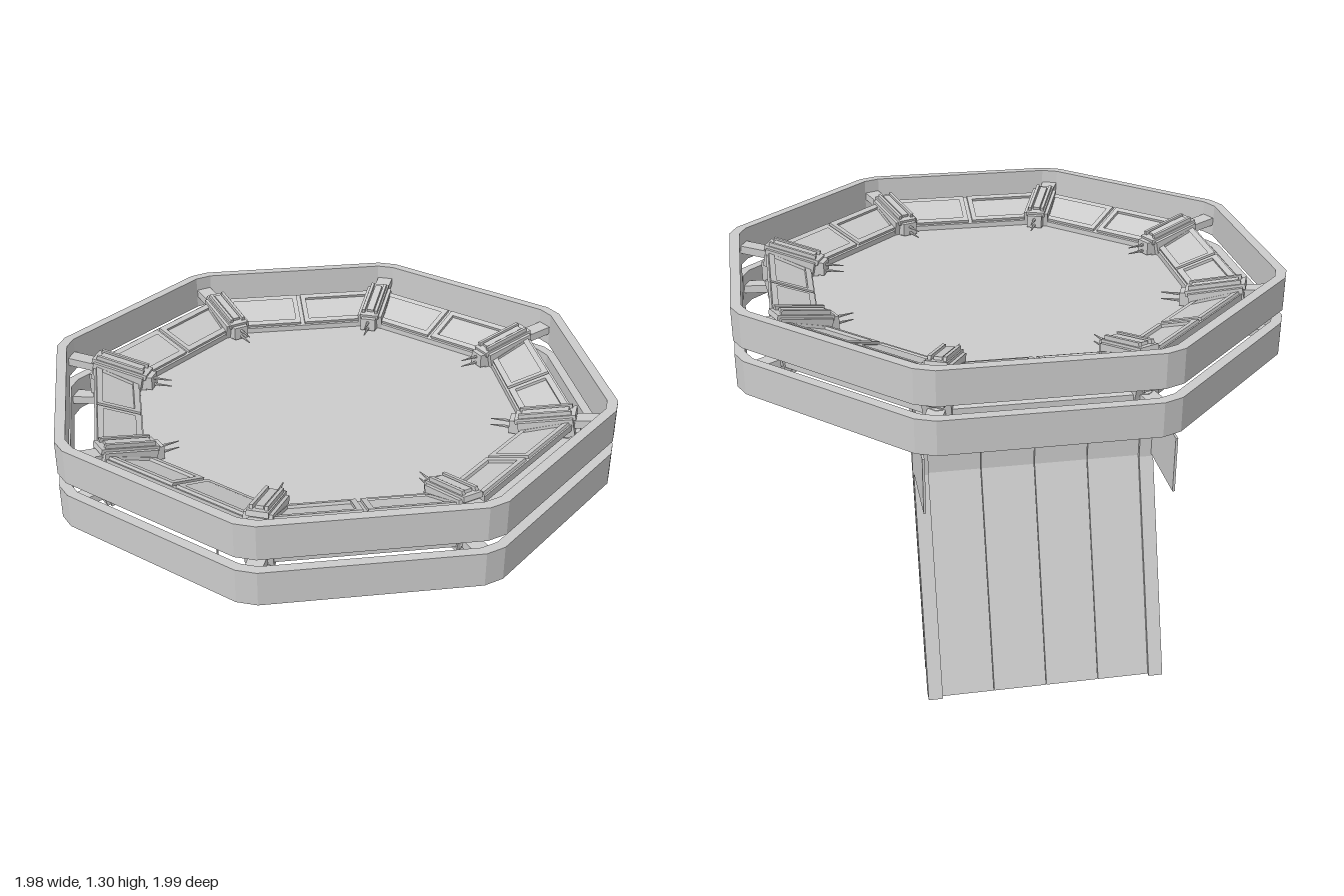
import * as THREE from 'three';

const T = Math.tan(Math.PI / 8);
const C = Math.cos(Math.PI / 8);
const MID = 1.155; // height of the ring's middle plane
const grey = new THREE.MeshStandardMaterial({ color: 0xcccccc, flatShading: true });
const thin = new THREE.MeshStandardMaterial({ color: 0xcccccc, flatShading: true, side: THREE.DoubleSide });

function add(parent, name, geometry, x = 0, y = 0, z = 0, material = grey) {
  const mesh = new THREE.Mesh(geometry, material);
  mesh.name = name;
  mesh.position.set(x, y, z);
  parent.add(mesh);
  return mesh;
}

function group(parent, name) {
  const g = new THREE.Group();
  g.name = name;
  parent.add(g);
  return g;
}

const box = (w, h, d) => new THREE.BoxGeometry(w, h, d);
const vec = (pts) => pts.map(([x, y]) => new THREE.Vector2(x, y));

function extrude(points, depth, hole) {
  const shape = new THREE.Shape(vec(points));
  if (hole) shape.holes.push(new THREE.Path(vec(hole)));
  return new THREE.ExtrudeGeometry(shape, { depth, bevelEnabled: false });
}

// Octagon of apothem a whose corners are cut by c
function cutOctagon(a, c) {
  const pts = [];
  for (let i = 0; i < 8; i++) {
    const t = (i * Math.PI) / 4;
    for (const s of [-1, 1]) {
      const w = s * (a * T - c);
      pts.push([a * Math.cos(t) - w * Math.sin(t), a * Math.sin(t) + w * Math.cos(t)]);
    }
  }
  return pts;
}

// Profile in (z, y) extruded along x and centred on x
function sideProfile(points, width) {
  const g = extrude(points.map(([z, y]) => [-z, y]), width);
  g.translate(0, 0, -width / 2);
  g.rotateY(Math.PI / 2);
  return g;
}

// Trapezoid frame lying on the ring's slope, measured from its inner edge
function panelFrame(side) {
  const trapezoid = (d0, d1, inset) => [
    [side * (0.008 + inset), -d0], [side * ((0.69 + d0) * T - 0.04 - inset), -d0],
    [side * ((0.69 + d1) * T - 0.04 - inset), -d1], [side * (0.008 + inset), -d1]];
  const g = extrude(trapezoid(0.008, 0.172, 0), 0.012, trapezoid(0.03, 0.15, 0.02));
  return g.rotateX(-Math.PI / 2);
}

// Bar between two points in the local y-z plane
function bar(parent, name, z0, y0, z1, y1, w, h) {
  const m = add(parent, name, box(w, h, Math.hypot(z1 - z0, y1 - y0)), 0, (y0 + y1) / 2, (z0 + z1) / 2);
  m.rotation.x = -Math.atan2(y1 - y0, z1 - z0);
}

function addClamp(parent, angle) {
  const clamp = group(parent, 'clamp');
  clamp.rotation.y = angle;
  // Tilted head with nested ridges
  const head = group(clamp, 'clampHead');
  head.position.set(0, 0.045, 0.82);
  head.rotation.x = -0.22;
  add(head, 'clampBody', box(0.1, 0.07, 0.2));
  add(head, 'clampStep', box(0.075, 0.02, 0.22), 0, 0.035, 0);
  for (const s of [-1, 1]) add(head, 'clampRail', box(0.012, 0.02, 0.19), s * 0.026, 0.05, 0);
  add(head, 'clampCore', box(0.028, 0.02, 0.17), 0, 0.046, 0);
  // Foot, jaw, arm to the band and a pair of stacked spikes
  add(clamp, 'clampFoot', box(0.06, 0.04, 0.23), 0, 0.02, 0.825);
  add(clamp, 'clampJaw', box(0.06, 0.05, 0.03), 0, 0.03, 0.7);
  bar(clamp, 'clampArm', 0.91, 0.07, 1.035, 0.085, 0.06, 0.03);
  for (const y of [0.015, 0.04]) {
    const spike = add(clamp, 'spike', new THREE.CylinderGeometry(0.002, 0.007, 0.08, 6), 0, y, 0.655);
    spike.rotation.x = -Math.PI / 2;
  }
}

export function createModel() {
  const model = new THREE.Group();
  model.name = 'octagonalGate';

  // Two outer bands
  for (const [name, y, h] of [['lowerBand', 1.005, 0.125], ['upperBand', 1.18, 0.125]]) {
    const g = extrude(cutOctagon(0.992, 0.04), h, cutOctagon(0.955, 0.035));
    add(model, name, g.rotateX(-Math.PI / 2), 0, y, 0);
  }

  // Inner ring, flared above and below with a groove around its outside
  const section = vec([[0.69, -0.02], [0.86, -0.08], [0.86, -0.055], [0.76, -0.015], [0.86, -0.01],
    [0.86, 0.01], [0.76, 0.015], [0.86, 0.055], [0.86, 0.08], [0.69, 0.02], [0.69, -0.02]]
    .map(([a, y]) => [a / C, y]));
  add(model, 'innerRing', new THREE.LatheGeometry(section, 8, Math.PI / 8), 0, MID, 0);
  const sheet = new THREE.CircleGeometry(0.695 / C, 8, Math.PI / 8);
  add(model, 'centreSheet', sheet.rotateX(-Math.PI / 2), 0, MID, 0, thin);

  // Panels and clamps, the same above and below
  const tilt = -Math.atan2(0.06, 0.17);
  for (const flip of [0, Math.PI]) {
    const half = group(model, flip ? 'lowerDetails' : 'upperDetails');
    half.position.y = MID;
    half.rotation.z = flip;
    for (let i = 0; i < 8; i++) {
      const side = group(half, 'ringSide');
      side.rotation.y = (i * Math.PI) / 4;
      for (const s of [-1, 1]) {
        const p = add(side, 'panelFrame', panelFrame(s), 0, 0.019, 0.69);
        p.rotation.x = tilt;
      }
      addClamp(half, ((i + 0.5) * Math.PI) / 4);
    }
  }

  // Sloping back support: four columns side by side
  const support = group(model, 'backSupport');
  const bent = (front, back) => [[front, 1.005], [front, 0.79], [front - 0.262, 0.04],
    [back - 0.262, 0.04], [back, 0.79], [back, 1.005]];
  for (let i = 0; i < 4; i++) {
    add(support, 'supportColumn', sideProfile(bent(-0.665, -0.718), 0.185), (i - 1.5) * 0.187, 0, 0);
  }
  for (const s of [-1, 1]) {
    // Grooved edge strips
    add(support, 'edgeStripFront', sideProfile(bent(-0.64, -0.665), 0.04), s * 0.39, 0, 0);
    add(support, 'edgeStripMiddle', sideProfile(bent(-0.665, -0.69), 0.03), s * 0.388, 0, 0);
    add(support, 'edgeStripBack', sideProfile(bent(-0.69, -0.732), 0.05), s * 0.395, 0, 0);
    // Forward wings and rear plates
    const wing = [[-0.5, 0.975], [-0.5, 0.755], [-0.76, 0], [-0.9, 0.05], [-0.64, 0.8], [-0.64, 0.975]];
    add(support, 'sideWing', sideProfile(wing, 0.008), s * 0.4, 0, 0);
    add(support, 'rearPlate', box(0.008, 0.2, 0.27), s * 0.416, 0.9, -0.863);
  }
  return model;
}
